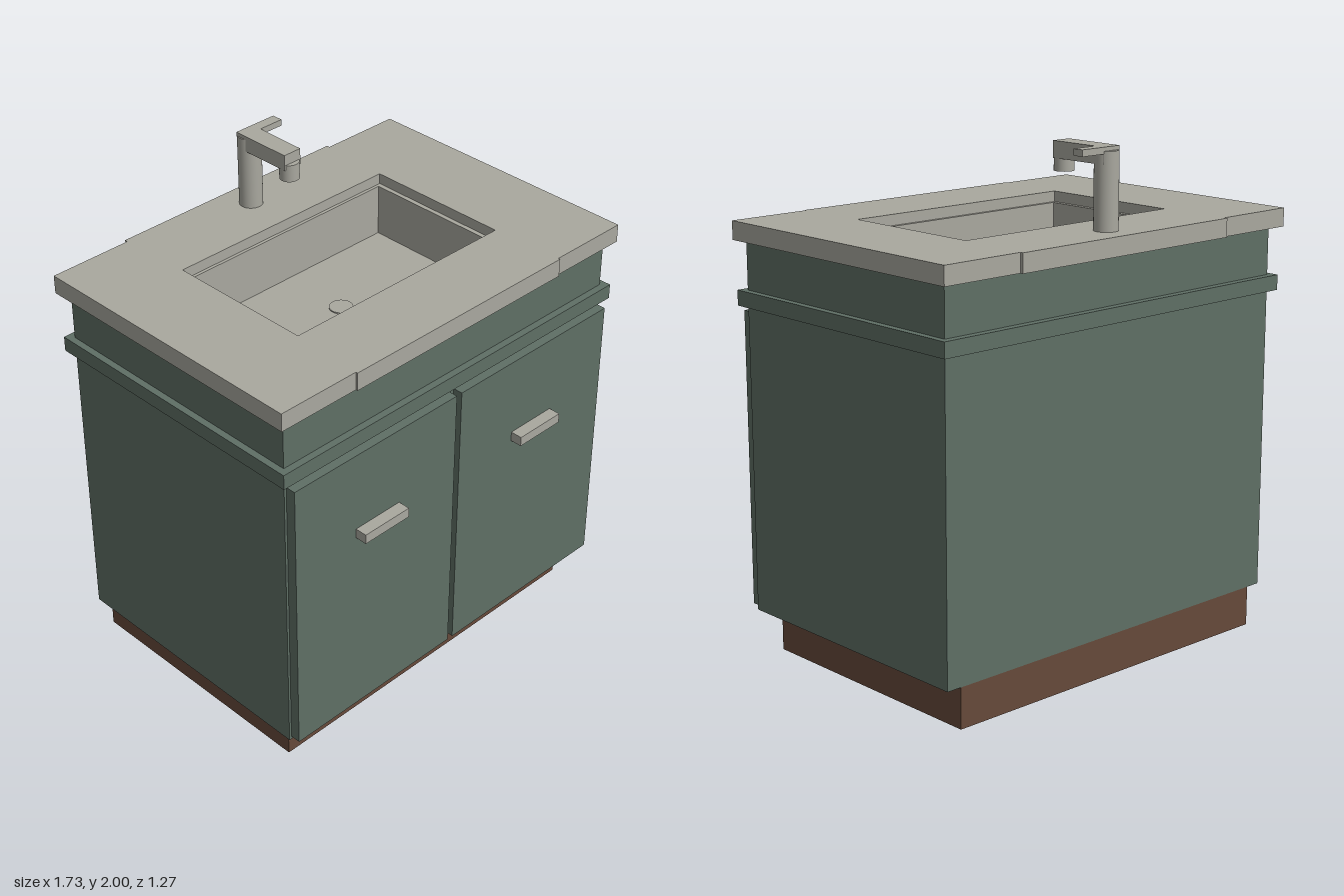
import * as THREE from 'three';

const green = new THREE.MeshStandardMaterial({ color: 0x5f6f65 });
green.name = 'green paint';
const stone = new THREE.MeshStandardMaterial({ color: 0xa9a89f });
stone.name = 'pale stone';
const wood = new THREE.MeshStandardMaterial({ color: 0x66493a });
wood.name = 'brown wood';

export function createModel() {
  const model = new THREE.Group();
  model.name = 'vanityCabinet';

  const add = (name, geometry, material) => {
    const mesh = new THREE.Mesh(geometry, material);
    mesh.name = name;
    model.add(mesh);
    return mesh;
  };

  // Box given by its limits on each axis
  const box = (name, material, [x0, x1], [y0, y1], [z0, z1]) => {
    const mesh = add(name, new THREE.BoxGeometry(x1 - x0, y1 - y0, z1 - z0), material);
    mesh.position.set((x0 + x1) / 2, (y0 + y1) / 2, (z0 + z1) / 2);
    return mesh;
  };

  const cylinder = (name, radius, [y0, y1], z) => {
    const mesh = add(name, new THREE.CylinderGeometry(radius, radius, y1 - y0, 32), stone);
    mesh.position.set(0, (y0 + y1) / 2, z);
    return mesh;
  };

  // Outline in plan, drawn with y standing for -z
  const trace = (path, pts) => {
    pts.forEach(([x, z], i) => (i ? path.lineTo(x, -z) : path.moveTo(x, -z)));
    path.closePath();
    return path;
  };
  const rect = (hx, z0, z1) => [[-hx, z0], [-hx, z1], [hx, z1], [hx, z0]];

  // Horizontal slab with a rectangular hole
  const ring = (name, material, outer, hole, [y0, y1]) => {
    const shape = trace(new THREE.Shape(), outer);
    shape.holes.push(trace(new THREE.Path(), hole));
    const geometry = new THREE.ExtrudeGeometry(shape, { depth: y1 - y0, bevelEnabled: false });
    geometry.rotateX(-Math.PI / 2);
    add(name, geometry, material).position.y = y0;
  };

  // Cabinet: plinth, carcass, hollow top around the basin, trim band
  box('plinth', wood, [-0.768, 0.768], [0, 0.16], [-0.58, 0.47]);
  box('carcass', green, [-0.83, 0.83], [0.16, 1.4], [-0.58, 0.543]);
  ring('carcassTop', green, rect(0.83, -0.58, 0.543), rect(0.515, -0.33, 0.285), [1.4, 1.62]);
  ring('trimBand', green, rect(0.857, -0.61, 0.572), rect(0.82, -0.57, 0.533), [1.37, 1.43]);

  // Pair of doors with bar handles
  for (const s of [-1, 1]) {
    const span = (a, b) => (s > 0 ? [a, b] : [-b, -a]);
    box('door', green, span(0.013, 0.82), [0.173, 1.345], [0.54, 0.584]);
    box('handle', stone, span(0.305, 0.525), [0.98, 1.02], [0.58, 0.633]);
  }

  // Countertop, its middle section slightly deeper than the ends
  ring('countertop', stone, [
    [-0.867, -0.623], [-0.867, 0.578], [-0.523, 0.578], [-0.523, 0.586],
    [0.523, 0.586], [0.523, 0.578], [0.867, 0.578], [0.867, -0.623],
    [0.523, -0.623], [0.523, -0.636], [-0.523, -0.636], [-0.523, -0.623],
  ], rect(0.509, -0.327, 0.28), [1.62, 1.693]);

  // Sunken basin with a stepped rim and a drain
  ring('basinWall', stone, rect(0.51, -0.328, 0.281), rect(0.49, -0.314, 0.266), [1.42, 1.65]);
  box('basinFloor', stone, [-0.5, 0.5], [1.41, 1.44], [-0.32, 0.272]);
  cylinder('drain', 0.046, [1.43, 1.445], -0.025);

  // Faucet: column, spout arm, nozzle, side lever
  cylinder('faucetColumn', 0.046, [1.69, 1.985], -0.515);
  box('faucetArm', stone, [-0.04, 0.04], [1.936, 2], [-0.54, -0.28]);
  cylinder('faucetNozzle', 0.038, [1.888, 1.957], -0.297);
  box('faucetLever', stone, [0.03, 0.147], [1.975, 2], [-0.54, -0.495]);

  return model;
}
